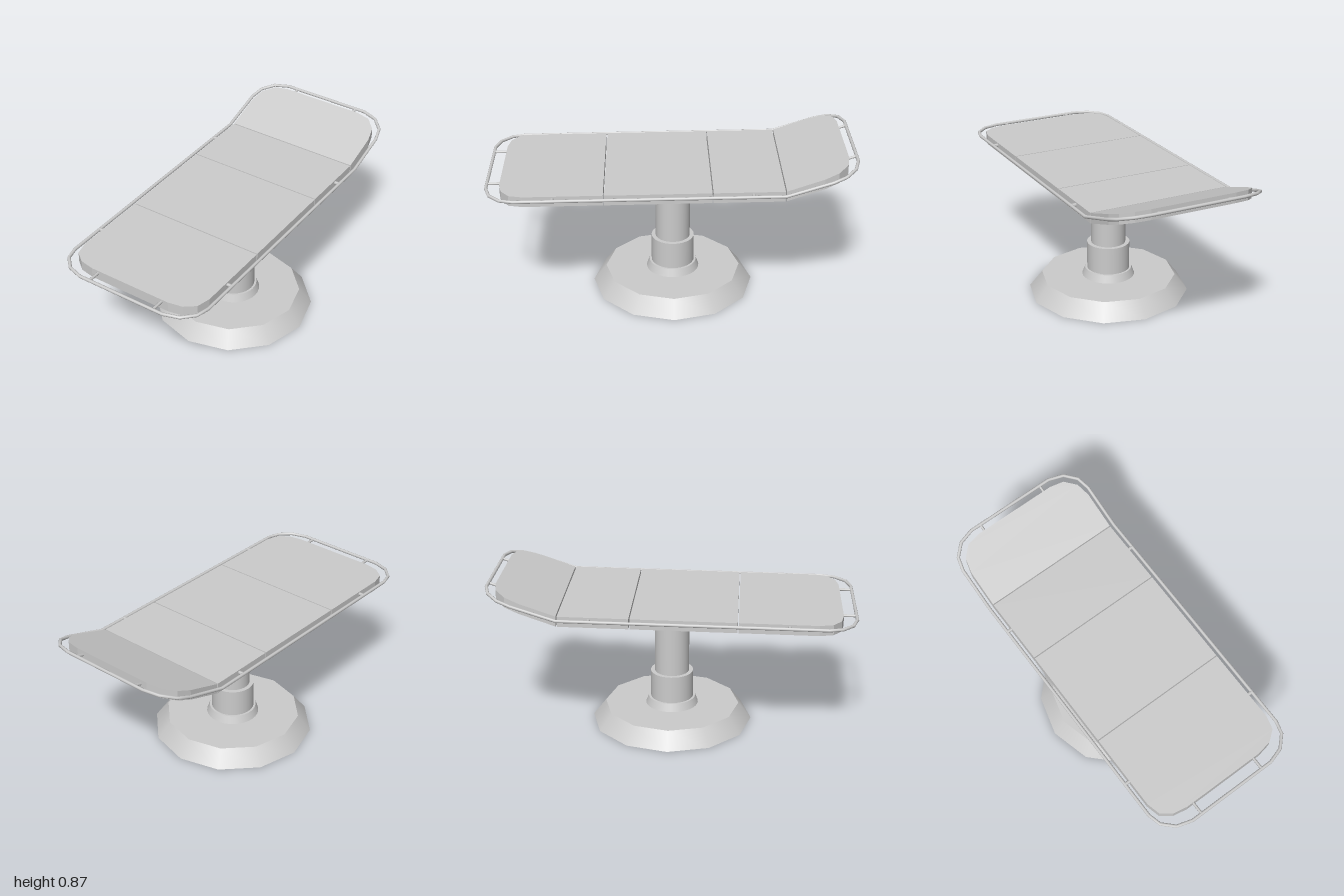
import * as THREE from 'three';

const MAT = new THREE.MeshStandardMaterial({ color: 0xcccccc });
const SHELL = new THREE.MeshStandardMaterial({ color: 0xcccccc, side: THREE.DoubleSide });
const CENTER_Z = -0.012, HINGE_Z = -0.6, THICK = 0.057;

// height of the mattress top and of the rail along the bed
const topY = z => z >= HINGE_Z ? 0.735 + (0.92 - z) * 0.0132 : 0.755 + (HINGE_Z - z) * 0.347;
const railY = z => z >= HINGE_Z ? 0.72 + (0.99 - z) * 0.0125 : 0.74 + (HINGE_Z - z) * 0.32;

function add(parent, name, geometry, material = MAT) {
  const mesh = new THREE.Mesh(geometry, material);
  mesh.name = name;
  parent.add(mesh);
  return mesh;
}

// one lathe per profile segment: round around the axis, sharp at each step
function turned(parent, name, profile, sides) {
  const group = new THREE.Group();
  group.name = name;
  group.position.z = CENTER_Z;
  const pts = profile.map(p => new THREE.Vector2(...p));
  for (let i = 0; i < pts.length - 1; i++) {
    add(group, name + 'Ring', new THREE.LatheGeometry([pts[i], pts[i + 1]], sides), SHELL);
  }
  parent.add(group);
}

// plan outline given for the +x half, mirrored, extruded and sloped along the bed
function panel(parent, name, half) {
  const outline = [...half, ...half.map(([x, z]) => [-x, z]).reverse()];
  const shape = new THREE.Shape(outline.map(([x, z]) => new THREE.Vector2(x, -z)));
  const geo = new THREE.ExtrudeGeometry(shape, { depth: THICK, bevelEnabled: false });
  geo.rotateX(-Math.PI / 2);
  const p = geo.attributes.position;
  for (let i = 0; i < p.count; i++) p.setY(i, p.getY(i) + topY(p.getZ(i)) - THICK);
  geo.computeVertexNormals();
  add(parent, name, geo);
}

function bar(parent, name, a, b, radius) {
  const dir = b.clone().sub(a);
  const mesh = add(parent, name, new THREE.CylinderGeometry(radius, radius, dir.length(), 6));
  mesh.position.copy(a).add(b).multiplyScalar(0.5);
  mesh.quaternion.setFromUnitVectors(new THREE.Vector3(0, 1, 0), dir.normalize());
}

// closed polyline whose corners fall exactly on the tube's rings
class Loop extends THREE.Curve {
  constructor(points) {
    super();
    this.points = points;
  }
  getPoint(t, target = new THREE.Vector3()) {
    const n = this.points.length, s = t * n, i = Math.floor(s + 1e-9);
    return target.lerpVectors(this.points[i % n], this.points[(i + 1) % n], s - i);
  }
  getPointAt(t, target) { return this.getPoint(t, target); }
  getTangentAt(t, target) { return this.getTangent(t, target); }
}

export function createModel() {
  const model = new THREE.Group();
  model.name = 'operatingTable';

  // pedestal: hollow foot, stepped column, dish below the bed
  turned(model, 'base', [[0.452, 0], [0.38, 0.092], [0.14, 0.092]], 12);
  turned(model, 'collar', [[0.148, 0.092], [0.132, 0.135], [0.12, 0.135]], 32);
  turned(model, 'lowerColumn', [[0.12, 0.135], [0.12, 0.292], [0.097, 0.292]], 32);
  turned(model, 'upperColumn', [[0.097, 0.292], [0.097, 0.612]], 32);
  turned(model, 'supportDish', [[0.097, 0.612], [0.186, 0.642], [0.222, 0.69]], 32);

  // mattress panels with narrow gaps
  const W = 0.397, GAP = 0.003;
  panel(model, 'footPanel', [
    [0.24, 0.92], [0.32, 0.905], [0.378, 0.86], [W, 0.785], [W, 0.36 + GAP]]);
  panel(model, 'seatPanel', [[W, 0.36 - GAP], [W, -0.215 + GAP]]);
  panel(model, 'backPanel', [[W, -0.215 - GAP], [W, HINGE_Z + GAP]]);
  panel(model, 'headPanel', [
    [W, HINGE_Z - GAP], [W, -0.8], [0.378, -0.875], [0.32, -0.93], [0.24, -0.945]]);

  // rail running all the way around the bed
  const half = [
    [0.26, 0.991], [0.345, 0.965], [0.405, 0.905], [0.424, 0.835], [0.424, HINGE_Z],
    [0.424, -0.84], [0.405, -0.91], [0.345, -0.967], [0.26, -0.991]];
  const plan = [[0, 0.991], ...half, [0, -0.991], ...half.map(([x, z]) => [-x, z]).reverse()];
  const path = plan.map(([x, z]) => new THREE.Vector3(x, railY(z), z));
  add(model, 'rail', new THREE.TubeGeometry(new Loop(path), path.length, 0.009, 8, true));

  // short brackets joining the rail to the panels
  const at = (x, z) => new THREE.Vector3(x, railY(z), z);
  for (const s of [-1, 1]) {
    bar(model, 'footBracket', at(s * 0.2, 0.9), at(s * 0.2, 0.99), 0.008);
    bar(model, 'headBracket', at(s * 0.2, -0.92), at(s * 0.2, -0.99), 0.008);
    for (const z of [0.63, -0.43]) {
      bar(model, 'sideBracket', at(s * 0.38, z), at(s * 0.424, z), 0.01);
    }
  }
  return model;
}
